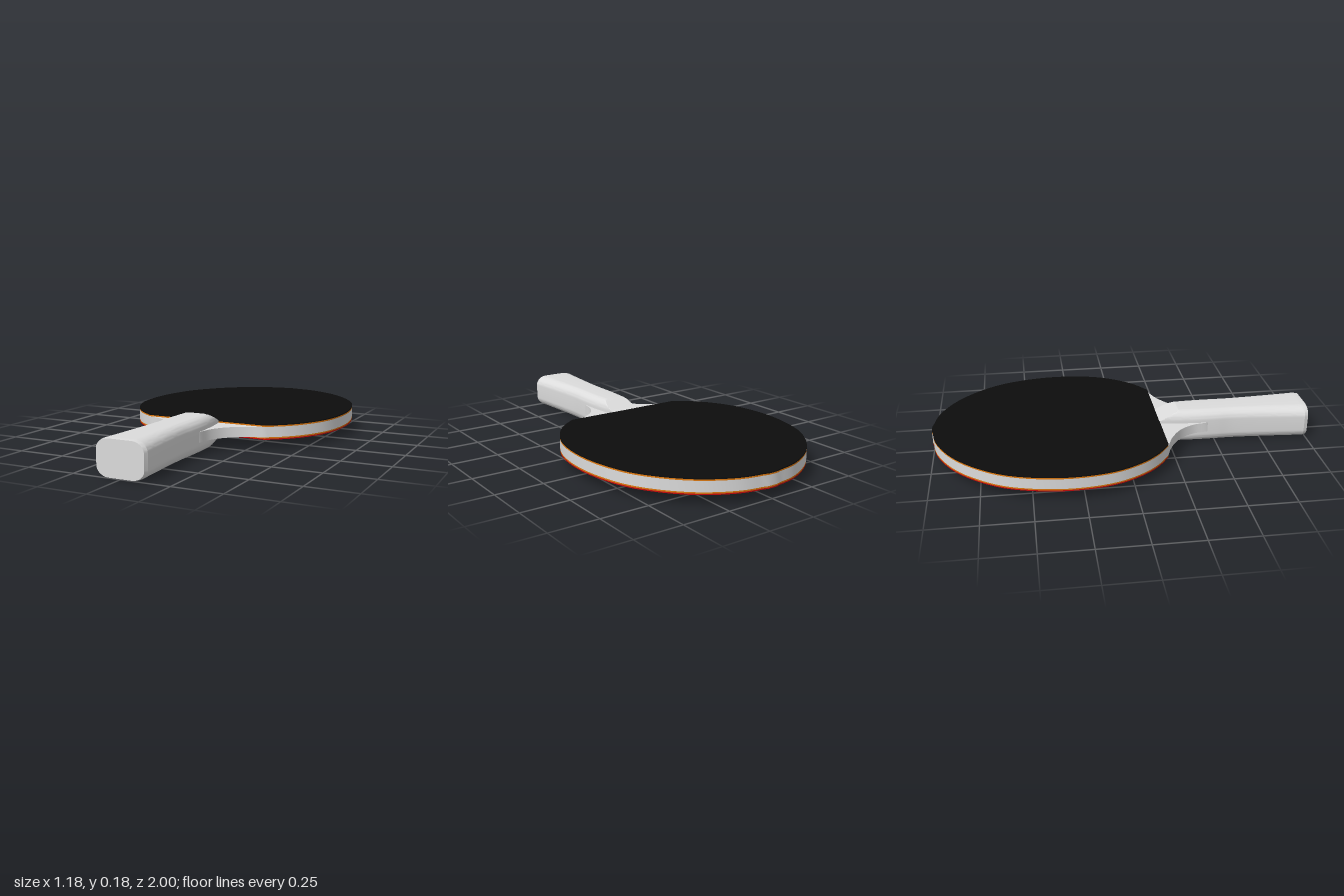
import * as THREE from 'three';
import { toCreasedNormals } from 'three/addons/utils/BufferGeometryUtils.js';

const MID = 0.09; // height of the central plane

function mat(name, color) {
  const m = new THREE.MeshStandardMaterial({ color });
  m.name = name;
  return m;
}

function curve(points) {
  return new THREE.CatmullRomCurve3(points.map(([x, z]) => new THREE.Vector3(x, z, 0)), false, 'centripetal');
}

// Half outline of the round head, from the tip to the straight rubber edge
const headHalf = curve([
  [0, -1], [0.165, -0.968], [0.35, -0.86], [0.505, -0.67], [0.567, -0.5], [0.59, -0.3],
  [0.562, -0.1], [0.495, 0.04], [0.42, 0.13], [0.335, 0.195],
]).getPoints(56);
// The tip is mirrored, so level the first step
headHalf[1].y = Math.min(headHalf[1].y, -0.999);

// Flared neck running into the handle
const neckHalf = curve([
  [0.335, 0.195], [0.245, 0.232], [0.16, 0.295], [0.115, 0.37], [0.096, 0.46], [0.07, 0.5],
]).getPoints(24).slice(1);

// Flat plate from a mirrored half outline, between two heights
function plate(half, y0, y1) {
  const right = half.map((p) => new THREE.Vector2(p.x, p.y));
  const left = right.slice(1).reverse().map((p) => new THREE.Vector2(-p.x, p.y));
  const geo = new THREE.ExtrudeGeometry(new THREE.Shape([...right, ...left]), { depth: y1 - y0, bevelEnabled: false });
  geo.rotateX(Math.PI / 2).translate(0, y1, 0);
  return toCreasedNormals(geo, 0.5);
}

// Handle lofted from rounded sections, cut by sloping planes near the head
function handleGeometry() {
  const widths = curve([
    [0.075, 0.19], [0.09, 0.3], [0.097, 0.4], [0.098, 0.5], [0.097, 0.58],
    [0.104, 0.7], [0.117, 0.85], [0.13, 0.98],
  ]);
  const stations = widths.getPoints(70).map((p) => [p.x, p.y, 0.09]);
  stations.push([0.123, 1, 0.088]);
  const n = 48;
  const pos = [], idx = [];
  for (const [w, z, h] of stations) {
    const limit = Math.min(h, 0.04 + Math.max(0, z - 0.195) * 0.48);
    for (let i = 0; i < n; i++) {
      // Four elliptical corners joined by flat sides
      const q = Math.floor(i / 12);
      const a = ((q + (i % 12) / 11) * Math.PI) / 2;
      const sx = q === 0 || q === 3 ? 1 : -1;
      const sy = q < 2 ? 1 : -1;
      const x = w * (sx * 0.48 + Math.cos(a) * 0.52);
      const y = h * (sy * 0.42 + Math.sin(a) * 0.58);
      pos.push(x, MID + THREE.MathUtils.clamp(y, -limit, limit), z);
    }
  }
  const last = stations.length - 1;
  for (let s = 0; s < last; s++) {
    for (let i = 0; i < n; i++) {
      const a = s * n + i, b = s * n + ((i + 1) % n);
      idx.push(a, b, b + n, a, b + n, a + n);
    }
  }
  // End caps
  const c = pos.length / 3;
  pos.push(0, MID, stations[0][1], 0, MID, 1);
  for (let i = 0; i < n; i++) {
    const j = (i + 1) % n;
    idx.push(c, j, i, c + 1, last * n + i, last * n + j);
  }
  const geo = new THREE.BufferGeometry();
  geo.setAttribute('position', new THREE.Float32BufferAttribute(pos, 3));
  geo.setIndex(idx);
  return toCreasedNormals(geo, 0.35);
}

export function createModel() {
  const group = new THREE.Group();
  group.name = 'tableTennisBat';
  const wood = mat('pale grey', 0xdcdcdc);
  const sponge = mat('orange sponge', 0xe07a10);
  const black = mat('black rubber', 0x0d0d0d);
  const red = mat('red rubber', 0xc80a0a);

  const add = (name, geo, material) => {
    const mesh = new THREE.Mesh(geo, material);
    mesh.name = name;
    group.add(mesh);
  };

  // Blade with neck, then sponge and rubber on each face
  add('blade', plate([...headHalf, ...neckHalf], 0.065, 0.118), wood);
  add('topSponge', plate(headHalf, 0.118, 0.125), sponge);
  add('topRubber', plate(headHalf, 0.125, 0.131), black);
  add('bottomSponge', plate(headHalf, 0.058, 0.065), sponge);
  add('bottomRubber', plate(headHalf, 0.052, 0.058), red);
  add('handle', handleGeometry(), wood);
  return group;
}
